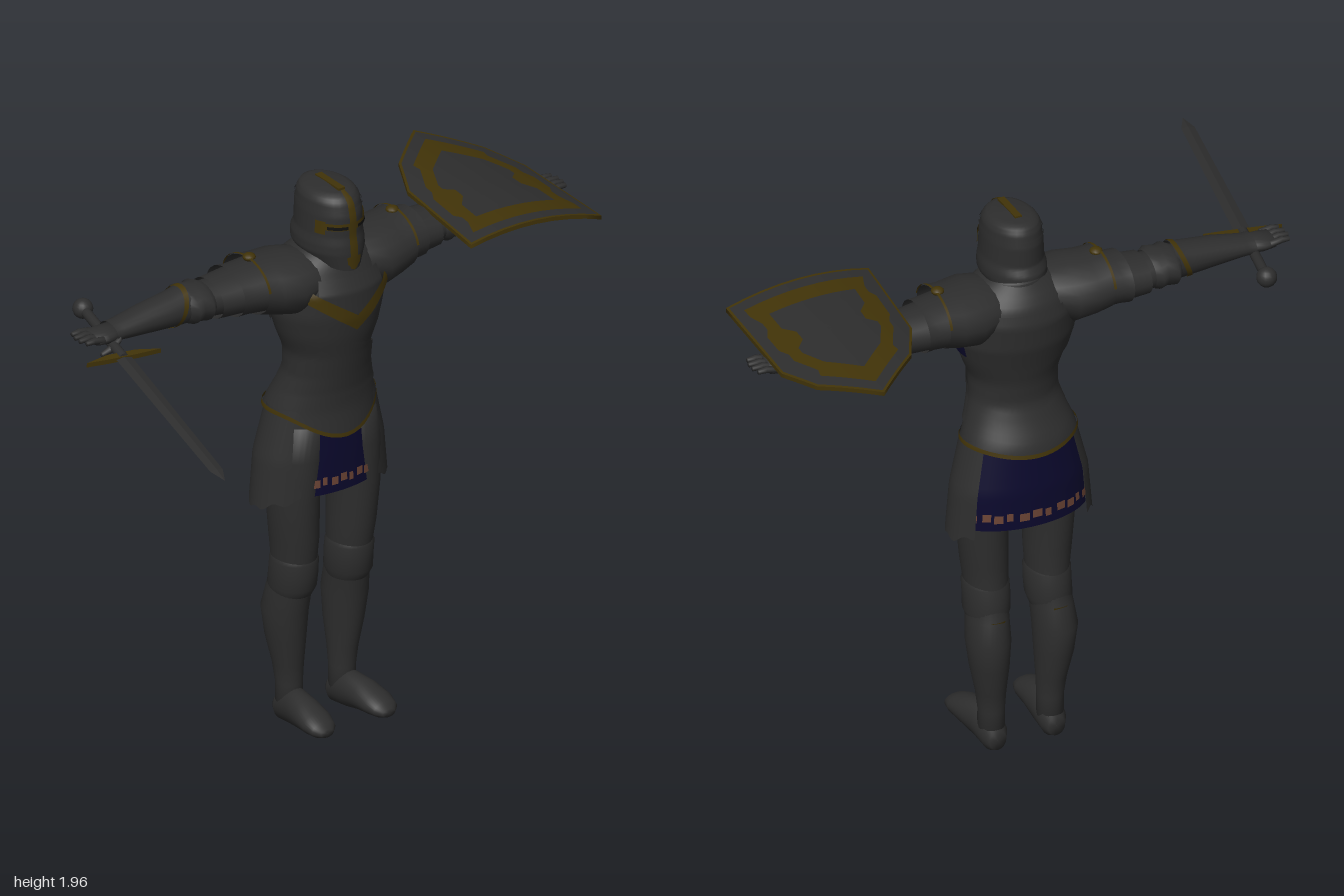
import * as THREE from 'three';

const flat = (name, color) => {
  const m = new THREE.MeshStandardMaterial({ color, side: THREE.DoubleSide });
  m.name = name;
  return m;
};
const PI = Math.PI;

// Interpolates cross-sections [y, centreX, centreZ, radiusX, radiusZ] at height y.
function sample(rows, y) {
  let i = 0;
  while (i < rows.length - 2 && y > rows[i + 1][0]) i++;
  const a = rows[i], b = rows[i + 1];
  const t = THREE.MathUtils.clamp((y - a[0]) / (b[0] - a[0]), 0, 1);
  return a.map((v, k) => v + (b[k] - v) * t);
}

// Indexed grid of points; closed joins the last column to the first.
function grid(pts, cols, closed) {
  const idx = [], rows = pts.length / 3 / cols;
  for (let i = 0; i < rows - 1; i++) for (let j = 0; j < (closed ? cols : cols - 1); j++) {
    const k = (j + 1) % cols, a = i * cols + j, b = i * cols + k;
    idx.push(a, b, b + cols, a, b + cols, a + cols);
  }
  const g = new THREE.BufferGeometry();
  g.setAttribute('position', new THREE.Float32BufferAttribute(pts, 3));
  g.setIndex(idx);
  g.computeVertexNormals();
  return g;
}

// Skin over cross-sections; an arc and edge functions make plates, bands and trims.
function skin(rows, { a0 = -PI, a1 = PI, lo, hi, off = 0, n = 32, m = 16 } = {}) {
  const closed = a1 - a0 > 2 * PI - 1e-3, cols = closed ? n : n + 1, pts = [];
  const steps = lo ? m + 1 : rows.length;
  for (let i = 0; i < steps; i++) for (let j = 0; j < cols; j++) {
    const a = a0 + (a1 - a0) * j / n;
    const y = lo ? lo(a) + (hi(a) - lo(a)) * i / m : rows[i][0];
    const [, cx, cz, rx, rz] = lo ? sample(rows, y) : rows[i];
    pts.push(cx + (rx + off) * Math.sin(a), y, cz + (rz + off) * Math.cos(a));
  }
  return grid(pts, cols, closed);
}

const capped = rows => {
  const end = r => [r[0], r[1], r[2], 0.001, 0.001];
  return [end(rows[0]), ...rows, end(rows[rows.length - 1])];
};

export function createModel() {
  const steel = flat('dark steel', 0x2d2d2d), gold = flat('dull gold', 0x413308);
  const navy = flat('navy cloth', 0x0a082c), pink = flat('cloth pattern', 0x6b4435);
  const tan = flat('skin', 0x633a25), black = flat('eye slit black', 0x101010);

  const model = new THREE.Group();
  model.name = 'knight';
  const body = new THREE.Group();
  body.name = 'body';
  body.position.x = 0.037;
  model.add(body);
  const add = (name, geo, mat, parent = body) => {
    const mesh = new THREE.Mesh(geo, mat);
    mesh.name = name;
    parent.add(mesh);
    return mesh;
  };
  const flatY = v => () => v;

  // Torso armour with flared, pointed lower edge
  const torso = [
    [1.08, 0, -0.252, 0.205, 0.158], [1.17, 0, -0.247, 0.195, 0.143], [1.24, 0, -0.227, 0.168, 0.127],
    [1.30, 0, -0.21, 0.15, 0.12], [1.38, 0, -0.205, 0.15, 0.13], [1.45, 0, -0.205, 0.178, 0.145],
    [1.53, 0, -0.21, 0.2, 0.16], [1.62, 0, -0.215, 0.2, 0.162], [1.68, 0, -0.22, 0.18, 0.14],
    [1.72, 0, -0.21, 0.14, 0.115], [1.75, 0, -0.21, 0.085, 0.085]];
  const hem = a => 1.165 - 0.085 * Math.max(0, Math.cos(a)) ** 3 - 0.025 * Math.max(0, -Math.cos(a)) ** 3;
  add('breastplate', skin(torso, { lo: hem, hi: flatY(1.75), n: 48, m: 28 }), steel);
  add('waistTrim', skin(torso, { lo: a => hem(a) - 0.004, hi: a => hem(a) + 0.01, off: 0.005, n: 48, m: 2 }), gold);
  add('bellyPlate', skin(torso, { a0: -1.5, a1: 1.5, lo: flatY(1.22), hi: a => 1.43 - 0.06 * Math.abs(a), off: 0.006 }), steel);
  add('backPlate', skin(torso, { a0: PI - 1.3, a1: PI + 1.3, lo: a => 1.42 + 0.05 * Math.abs(a - PI), hi: flatY(1.66), off: 0.006 }), steel);
  add('gorgetPlate', skin(torso, { a0: -0.62, a1: 0.62, lo: a => 1.54 + 0.1 * a * a, hi: flatY(1.67), off: 0.014 }), steel);
  const vee = a => 1.485 + 0.16 * Math.abs(Math.sin(a));
  add('chestTrim', skin(torso, { a0: -0.8, a1: 0.8, lo: vee, hi: a => vee(a) + 0.055 - 0.012 * Math.abs(a), off: 0.02, m: 4 }), gold);
  add('collar', skin([[1.68, 0, -0.21, 0.13, 0.12], [1.74, 0, -0.21, 0.1, 0.1]]), steel);
  add('neck', skin([[1.7, 0, -0.22, 0.065, 0.07], [1.85, 0, -0.21, 0.065, 0.07]]), tan);

  // Helmet: lower at the face, flared at the nape
  const helm = [
    [1.69, 0, -0.195, 0.08, 0.138], [1.75, 0, -0.2, 0.106, 0.145], [1.78, 0, -0.2, 0.106, 0.143],
    [1.81, 0, -0.195, 0.1, 0.132], [1.88, 0, -0.195, 0.096, 0.133], [1.925, 0, -0.197, 0.09, 0.122],
    [1.945, 0, -0.2, 0.078, 0.108], [1.957, 0, -0.2, 0.05, 0.078], [1.961, 0, -0.2, 0.001, 0.001]];
  const rim = a => 1.73 - 0.04 * Math.cos(a);
  add('helmet', skin(helm, { lo: rim, hi: flatY(1.961), m: 34 }), steel);
  add('browBand', skin(helm, { lo: flatY(1.9), hi: flatY(1.908), off: 0.004, m: 1 }), steel);
  add('visorBar', skin(helm, { a0: -0.13, a1: 0.13, lo: flatY(1.7), hi: flatY(1.957), off: 0.006, n: 4 }), gold);
  add('visorFoot', skin(helm, { a0: -0.24, a1: 0.24, lo: a => 1.695 + 0.1 * Math.abs(a), hi: flatY(1.745), off: 0.007, n: 6, m: 4 }), gold);
  add('crownStrip', new THREE.BoxGeometry(0.024, 0.008, 0.13), gold).position.set(0, 1.959, -0.185);
  for (const s of [-1, 1]) {
    const arc = (p, q) => s > 0 ? { a0: p, a1: q } : { a0: -q, a1: -p };
    add('visorCrossArm', skin(helm, { ...arc(0.1, 0.85), lo: flatY(1.838), hi: flatY(1.862), off: 0.004, n: 8, m: 2 }), gold);
    add('visorCrossEnd', skin(helm, { ...arc(0.85, 1.15), lo: flatY(1.822), hi: flatY(1.868), off: 0.004, n: 4, m: 2 }), gold);
    add('eyeSlit', skin(helm, { ...arc(0.18, 0.8), lo: flatY(1.842), hi: flatY(1.853), off: 0.007, n: 8, m: 1 }), black);
  }

  // Cloth skirt with pattern patches
  const hips = [[0.8, 0, -0.25, 0.25, 0.145], [1.0, 0, -0.25, 0.232, 0.142], [1.19, 0, -0.24, 0.185, 0.125]];
  for (const [a0, a1] of [[-0.78, 0.78], [PI - 1.05, PI + 1.05]]) {
    add('skirtCloth', skin(hips, { a0, a1, lo: flatY(0.873), hi: flatY(1.18), off: -0.006 }), navy);
    const count = 11, w = (a1 - a0) / count;
    for (let i = 0; i < count; i++) {
      const p = a0 + w * (i + 0.15);
      add('clothPattern', skin(hips, { a0: p, a1: p + w * (i % 3 ? 0.75 : 0.5), lo: flatY(0.902 + 0.006 * (i % 2)), hi: flatY(0.93 + 0.006 * (i % 2)), off: -0.002, n: 4, m: 1 }), pink);
    }
  }
  add('pelvis', skin(capped([[0.9, 0, -0.23, 0.1, 0.08], [1.0, 0, -0.23, 0.16, 0.11], [1.15, 0, -0.23, 0.16, 0.11]])), navy);

  for (const s of [-1, 1]) {
    // Hip plate, from beside the front cloth round to the back cloth
    const front = s * 0.66, back = s * 2.22;
    add('hipPlate', skin(hips, {
      a0: Math.min(front, back), a1: Math.max(front, back), hi: flatY(1.18), off: 0.006,
      lo: a => 0.825 + 0.045 * Math.abs(Math.abs(a) - 1.65) + 0.008 * Math.cos(14 * (Math.abs(a) - PI / 2)) }), steel);

    // Leg, knee guard and boot
    const side = rows => rows.map(([y, x, z, rx, rz]) => [y, s * x, z, rx, rz]);
    add('leg', skin(capped(side([
      [0.06, 0.105, -0.265, 0.045, 0.048], [0.15, 0.105, -0.265, 0.044, 0.047], [0.22, 0.108, -0.267, 0.05, 0.056],
      [0.32, 0.115, -0.271, 0.064, 0.075], [0.42, 0.119, -0.27, 0.073, 0.087], [0.5, 0.114, -0.253, 0.069, 0.084],
      [0.58, 0.108, -0.234, 0.068, 0.08], [0.7, 0.113, -0.227, 0.077, 0.092], [0.85, 0.12, -0.225, 0.083, 0.1],
      [1.0, 0.112, -0.225, 0.09, 0.106], [1.12, 0.1, -0.225, 0.085, 0.1]]))), steel);
    const knee = side([
      [0.49, 0.111, -0.245, 0.066, 0.076], [0.52, 0.111, -0.24, 0.076, 0.088], [0.57, 0.109, -0.235, 0.077, 0.088],
      [0.615, 0.11, -0.23, 0.077, 0.086], [0.63, 0.11, -0.23, 0.07, 0.08]]);
    add('kneeGuard', skin(knee), steel);
    add('kneeBuckle', skin(knee, { a0: PI - 0.3, a1: PI + 0.3, lo: flatY(0.492), hi: flatY(0.506), off: 0.012, n: 6, m: 1 }), gold);
    const boot = skin(capped([
      [-0.315, 0.105, 0.05, 0.03, 0.035], [-0.29, 0.105, 0.06, 0.045, 0.058], [-0.22, 0.108, 0.075, 0.049, 0.064],
      [-0.15, 0.116, 0.078, 0.055, 0.052], [-0.09, 0.12, 0.073, 0.057, 0.038], [-0.05, 0.122, 0.066, 0.046, 0.027],
      [-0.03, 0.122, 0.06, 0.025, 0.014]].map(([z, x, y, rx, ry]) => [z, s * x, -y, rx, ry])));
    add('boot', boot.rotateX(PI / 2), steel);

    // Arm pieces, cross-sections [outward x, y, z, radiusY, radiusZ]
    const arm = rows => rows.map(([t, y, z, ry, rz]) => [t, -s * y, z, ry, rz]);
    const limb = (name, rows, mat, opt) => add(name, skin(arm(rows), { n: 20, ...opt }).rotateZ(-s * PI / 2), mat);
    const up = -s * PI / 2;
    limb('shoulderPlate', [[0.1, 1.65, -0.215, 0.085, 0.125], [0.17, 1.64, -0.22, 0.108, 0.145], [0.24, 1.645, -0.23, 0.1, 0.138], [0.295, 1.655, -0.235, 0.097, 0.128]], steel);
    limb('shoulderTrim', [[0.288, 1.655, -0.235, 0.1, 0.131], [0.297, 1.655, -0.235, 0.1, 0.131]], gold, { a0: up - 1.4, a1: up + 1.4 });
    limb('upperShoulderLame', [[0.26, 1.645, -0.24, 0.085, 0.118], [0.33, 1.645, -0.245, 0.08, 0.11], [0.365, 1.645, -0.25, 0.083, 0.108]], steel);
    limb('lowerShoulderLame', [[0.34, 1.642, -0.25, 0.072, 0.1], [0.4, 1.64, -0.252, 0.068, 0.094], [0.435, 1.64, -0.253, 0.066, 0.09]], steel);
    limb('upperArm', [[0.2, 1.64, -0.24, 0.08, 0.1], [0.4, 1.64, -0.252, 0.058, 0.078], [0.5, 1.645, -0.255, 0.055, 0.068], [0.56, 1.648, -0.25, 0.054, 0.06]], steel);
    limb('elbowGuard', [[0.455, 1.645, -0.253, 0.058, 0.078], [0.475, 1.647, -0.253, 0.064, 0.096], [0.5, 1.647, -0.253, 0.063, 0.08], [0.53, 1.648, -0.253, 0.062, 0.096], [0.55, 1.648, -0.253, 0.056, 0.07]], steel);
    const fore = [[0.54, 1.654, -0.25, 0.066, 0.064], [0.6, 1.65, -0.248, 0.058, 0.062], [0.7, 1.648, -0.247, 0.047, 0.058], [0.8, 1.642, -0.247, 0.033, 0.05], [0.83, 1.64, -0.247, 0.033, 0.052]];
    limb('forearm', fore, steel);
    limb('forearmTrim', fore, gold, { lo: a => 0.565 + 0.025 * s * Math.sin(a), hi: a => 0.583 + 0.025 * s * Math.sin(a), off: 0.003, m: 2 });
    limb('hand', capped([[0.81, 1.64, -0.247, 0.026, 0.046], [0.86, 1.638, -0.247, 0.026, 0.05], [0.9, 1.64, -0.247, 0.02, 0.05]]), steel);
    for (let i = 0; i < 4; i++) {
      const z = -0.288 + i * 0.027, tip = 0.96 - 0.008 * Math.abs(i - 1.5);
      limb('finger', capped([[0.88, 1.643, z, 0.012, 0.012], [0.92, 1.65, z, 0.011, 0.011], [tip, 1.648, z, 0.008, 0.008]]), steel, { n: 8 });
    }
    limb('thumb', capped([[0.82, 1.63, -0.205, 0.014, 0.014], [0.86, 1.605, -0.2, 0.013, 0.013], [0.89, 1.592, -0.205, 0.008, 0.008]]), steel, { n: 8 });

    // Shield straps and the strap below the left shoulder
    if (s > 0) {
      limb('shieldStrap', [[0.565, 1.647, -0.247, 0.066, 0.07], [0.605, 1.647, -0.247, 0.066, 0.068]], navy);
      limb('wristStrap', [[0.785, 1.64, -0.247, 0.04, 0.06], [0.815, 1.64, -0.247, 0.038, 0.06]], navy);
      add('armpitStrap', skin(torso, { a0: 1.45, a1: 1.85, lo: flatY(1.48), hi: flatY(1.56), off: 0.006, n: 6, m: 4 }), navy);
    }

    const stud = add('shoulderStud', new THREE.SphereGeometry(0.022, 12, 8), gold);
    stud.scale.y = 0.6;
    stud.position.set(s * 0.283, 1.75, -0.237);
  }

  // Shield: concentric bands over a gently bent surface
  const outline = [[0.727, -0.685], [0.88, -0.51], [0.936, -0.36], [0.925, 0.075], [0.428, 0.048], [0.47, -0.36], [0.55, -0.52]];
  const edge = [];
  outline.forEach(([x, z], i) => {
    const [x2, z2] = outline[(i + 1) % outline.length];
    for (let k = 0; k < 8; k++) edge.push([x + (x2 - x) * k / 8, z + (z2 - z) * k / 8]);
  });
  const shield = new THREE.Group();
  shield.name = 'shield';
  model.add(shield);
  const bend = x => 1.73 - 0.6 * (x - 0.62) ** 2;
  // The gold band steps in and out along its way round
  const inner = z => Math.abs(z + 0.2) < 0.07 ? 0.47 : 0.6;
  const outer = z => z < -0.5 || Math.abs(z + 0.2) < 0.1 || z > 0 ? 0.83 : 0.76;
  const band = (name, s0, s1, d0, d1, mat) => {
    const pts = [];
    for (let i = 0; i <= 6; i++) for (const [ex, ez] of edge) {
      const k = s0(ez) + (s1(ez) - s0(ez)) * i / 6, x = 0.7 + (ex - 0.7) * k, z = -0.26 + (ez + 0.26) * k;
      pts.push(x, bend(x) + d0 + (d1 - d0) * i / 6, z);
    }
    add(name, grid(pts, edge.length, true), mat, shield);
  };
  const hub = flatY(0.001), lip = flatY(0.968), full = flatY(1);
  band('shieldCentre', hub, inner, 0, 0, steel);
  band('shieldGoldBand', inner, outer, 0, 0, gold);
  band('shieldField', outer, lip, 0, 0, steel);
  band('shieldRim', lip, full, 0, 0, gold);
  band('shieldEdge', full, full, 0, -0.014, gold);
  band('shieldBack', full, hub, -0.014, -0.014, steel);

  // Sword, built along z from the pommel and aimed at its tip
  const sword = new THREE.Group();
  sword.name = 'sword';
  model.add(sword);
  add('pommel', new THREE.SphereGeometry(0.034, 16, 12), steel, sword);
  add('grip', new THREE.CylinderGeometry(0.017, 0.017, 0.32, 12).rotateX(PI / 2), steel, sword).position.z = 0.17;
  const guard = new THREE.Shape([[-0.13, 0.01], [-0.05, -0.014], [0.05, -0.014], [0.13, 0.01], [0.05, 0.014], [-0.05, 0.014]].map(p => new THREE.Vector2(...p)));
  add('guard', new THREE.ExtrudeGeometry(guard, { depth: 0.016, bevelEnabled: false }).rotateX(PI / 2), gold, sword).position.set(0, 0.008, 0.32);
  const blade = new THREE.CylinderGeometry(0.022, 0.027, 0.75, 4).toNonIndexed().rotateX(PI / 2);
  const tip = new THREE.ConeGeometry(0.022, 0.07, 4).toNonIndexed().rotateX(PI / 2);
  for (const [name, g, z] of [['blade', blade, 0.7], ['bladeTip', tip, 1.11]]) {
    g.scale(1, 0.25, 1).computeVertexNormals();
    add(name, g, steel, sword).position.z = z;
  }
  sword.position.set(-0.755, 1.63, -0.445);
  sword.lookAt(-0.995, 1.55, 0.67);
  return model;
}
